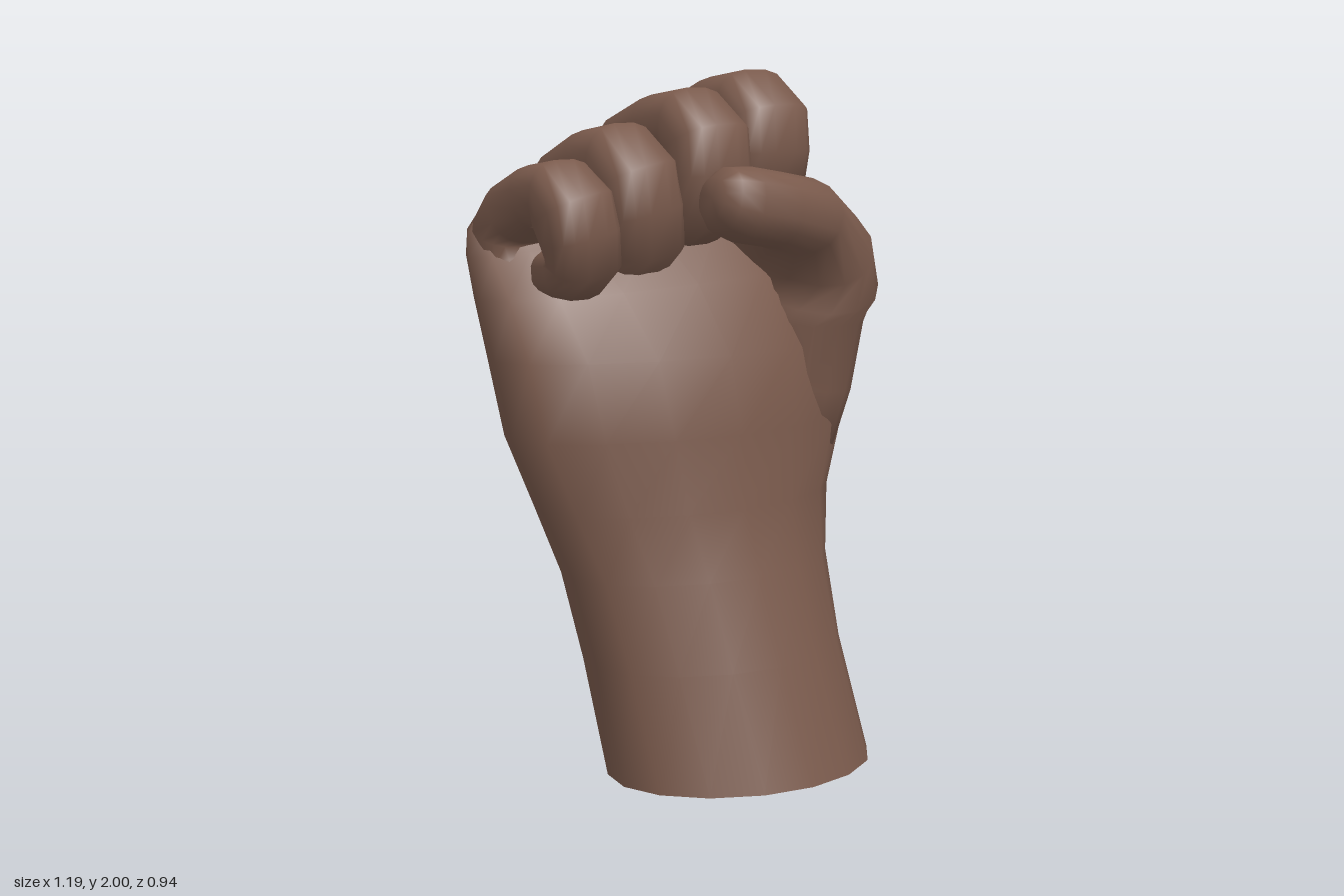
import * as THREE from 'three';

const skin = new THREE.MeshStandardMaterial({ color: 0x7a5a4c });
skin.name = 'brown skin';

// Rounded outline: superellipse point at angle a
function outline(a, n) {
  const c = Math.cos(a), s = Math.sin(a);
  return [Math.sign(c) * Math.abs(c) ** (2 / n), Math.sign(s) * Math.abs(s) ** (2 / n)];
}

// Joins rings of points into a smooth closed skin; flatStart keeps a crisp first cap
function loft(name, rings, flatStart = false) {
  const pos = [], idx = [], n = rings[0].length;
  rings.forEach(r => r.forEach(p => pos.push(p.x, p.y, p.z)));
  for (let i = 0; i < rings.length - 1; i++) {
    for (let j = 0; j < n; j++) {
      const a = i * n + j, b = i * n + (j + 1) % n;
      idx.push(a, b, b + n, a, b + n, a + n);
    }
  }
  const centre = r => r.reduce((s, p) => s.add(p), new THREE.Vector3()).divideScalar(n);
  const cap = (ring, base, flip) => {
    const c = centre(ring), m = pos.length / 3;
    pos.push(c.x, c.y, c.z);
    for (let j = 0; j < n; j++) {
      const a = base + j, b = base + (j + 1) % n;
      if (flip) idx.push(m, b, a); else idx.push(m, a, b);
    }
  };
  let start = 0;
  if (flatStart) {
    start = pos.length / 3;
    rings[0].forEach(p => pos.push(p.x, p.y, p.z));
  }
  cap(rings[0], start, true);
  cap(rings[rings.length - 1], (rings.length - 1) * n, false);
  const g = new THREE.BufferGeometry();
  g.setAttribute('position', new THREE.Float32BufferAttribute(pos, 3));
  g.setIndex(idx);
  g.computeVertexNormals();
  const mesh = new THREE.Mesh(g, skin);
  mesh.name = name;
  return mesh;
}

// Rings along a path; sizes are half extents along `ref` and across it
function sweep(points, sizes, ref, power, sides) {
  return points.map((p, i) => {
    const t = points[Math.min(i + 1, points.length - 1)].clone()
      .sub(points[Math.max(i - 1, 0)]).normalize();
    const u = ref.clone().addScaledVector(t, -ref.dot(t)).normalize();
    const v = new THREE.Vector3().crossVectors(t, u);
    return Array.from({ length: sides }, (_, j) => {
      const [a, b] = outline((j + 0.5) / sides * Math.PI * 2, power);
      return p.clone().addScaledVector(u, a * sizes[i][0]).addScaledVector(v, b * sizes[i][1]);
    });
  });
}

// Forearm, wrist and palm: y, right x, left x, front z, back z, tilt, skew, squareness
function makeArm() {
  const levels = [
    [0, -0.35, 0.49, 0.48, -0.18, 0, 0, 1.95],
    [0.33, -0.38, 0.455, 0.375, -0.24, 0, 0, 1.95],
    [0.58, -0.42, 0.455, 0.305, -0.285, 0, 0, 1.95],
    [0.77, -0.485, 0.505, 0.25, -0.325, 0, -0.01, 1.95],
    [0.98, -0.57, 0.59, 0.235, -0.37, 0, -0.03, 1.95],
    [1.2, -0.6, 0.59, 0.2, -0.41, 0, -0.05, 2],
    [1.4, -0.6, 0.53, 0.09, -0.44, 0.06, -0.08, 2.2],
    [1.56, -0.585, 0.42, -0.04, -0.46, 0.14, -0.11, 2.4],
    [1.66, -0.565, 0.37, -0.12, -0.45, 0.2, -0.12, 2.6],
    [1.73, -0.53, 0.34, -0.16, -0.41, 0.24, -0.12, 2.7],
    [1.77, -0.48, 0.31, -0.19, -0.34, 0.26, -0.1, 2.6],
  ];
  const sides = 16;
  const rings = levels.map(([y, x0, x1, zf, zb, tilt, skew, n]) =>
    Array.from({ length: sides }, (_, j) => {
      const [a, b] = outline(-j / sides * Math.PI * 2, n);
      const x = (x0 + x1) / 2 + a * (x1 - x0) / 2;
      return new THREE.Vector3(x, y + tilt * x, (zf + zb) / 2 + b * (zf - zb) / 2 - b * skew * x);
    }));
  return loft('forearmAndPalm', rings, true);
}

// Curled finger centre line as z, y, half width factor, half thickness
const curl = [
  [-0.25, 1.48, 0.9, 0.1], [-0.32, 1.65, 0.98, 0.11], [-0.348, 1.745, 1, 0.115], [-0.27, 1.82, 1, 0.11],
  [-0.14, 1.875, 0.98, 0.107], [-0.03, 1.893, 1, 0.107], [0.015, 1.85, 1, 0.12],
  [0.03, 1.76, 1, 0.1], [0.02, 1.68, 0.95, 0.095], [-0.04, 1.645, 0.9, 0.09],
  [-0.13, 1.64, 0.85, 0.08], [-0.19, 1.645, 0.6, 0.05],
];

// Fits the curl between front/back z and bottom/top y, leaning sideways on the way down
function makeFinger({ name, x, half, top, bottom, front, back, lean }) {
  const sy = (top - bottom) / 0.44, sz = (front - back) / 0.59;
  const points = curl.map(([z, y], i) => {
    const drop = (2 - y) * sy;
    return new THREE.Vector3(x + lean * (i > 3 ? drop : 0.1), top - drop, front + (z - 0.13) * sz);
  });
  const sizes = curl.map(([, , w, t]) => [half * w, t * Math.min(sy, 1.05)]);
  return loft(name, sweep(points, sizes, new THREE.Vector3(1, 0, 0), 2.6, 16));
}

// Thumb folded across the front, webbed back into the hand: x, y, z, half height, half depth
function makeThumb() {
  const path = [
    [0.35, 0.85, -0.07, 0.14, 0.2], [0.37, 1.08, -0.05, 0.18, 0.24],
    [0.385, 1.28, -0.04, 0.19, 0.26], [0.375, 1.43, -0.02, 0.195, 0.31],
    [0.315, 1.535, 0.085, 0.15, 0.25], [0.22, 1.59, 0.2, 0.115, 0.145],
    [0.11, 1.61, 0.24, 0.108, 0.11], [0, 1.628, 0.24, 0.108, 0.105],
    [-0.065, 1.642, 0.235, 0.095, 0.097], [-0.1, 1.648, 0.23, 0.06, 0.07],
  ];
  const points = path.map(([x, y, z]) => new THREE.Vector3(x, y, z));
  const sizes = path.map(p => [p[4], p[3]]);
  return loft('thumb', sweep(points, sizes, new THREE.Vector3(0.15, 0, 1), 2.2, 16));
}

export function createModel() {
  const hand = new THREE.Group();
  hand.name = 'fist';
  hand.add(makeArm(), makeThumb());
  [
    { name: 'indexFinger', x: 0.25, half: 0.134, top: 2, bottom: 1.56, front: 0.13, back: -0.465, lean: 0.02 },
    { name: 'middleFinger', x: 0.01, half: 0.126, top: 1.95, bottom: 1.5, front: 0.165, back: -0.465, lean: 0.04 },
    { name: 'ringFinger', x: -0.24, half: 0.124, top: 1.855, bottom: 1.395, front: 0.105, back: -0.42, lean: 0.2 },
    { name: 'littleFinger', x: -0.47, half: 0.112, top: 1.76, bottom: 1.37, front: 0.14, back: -0.345, lean: 0.22 },
  ].forEach(f => hand.add(makeFinger(f)));
  return hand;
}
